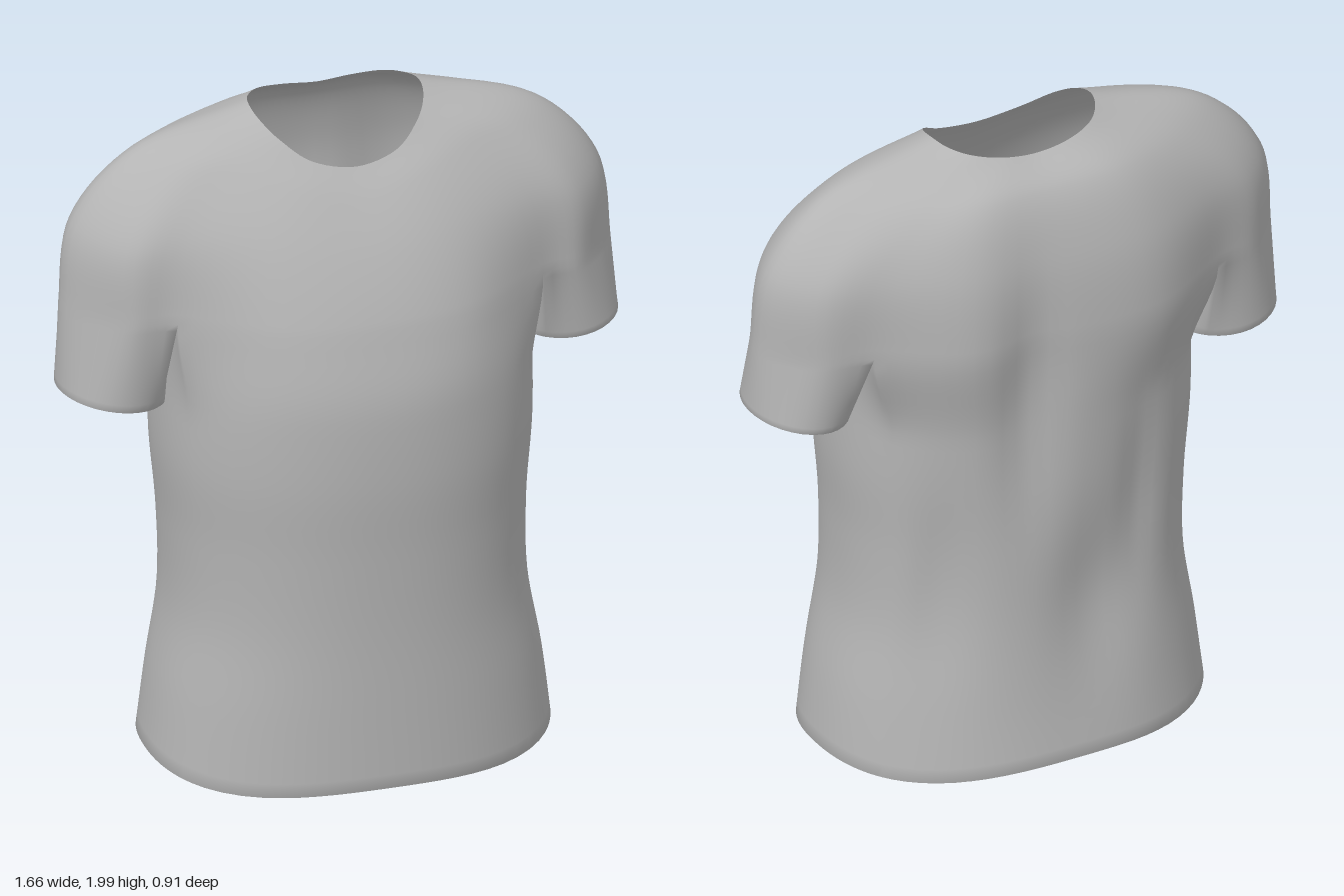
import * as THREE from 'three';

const N = 96;              // points around the body
const F = 12, B = 36;      // ring indices of the front and back armpit on the +x side
const CHEST = .25;         // guide position of the armpit level
const { lerp, smoothstep, degToRad } = THREE.MathUtils;
const V = (x, y, z) => new THREE.Vector3(x, y, z);

// Half-body guide lines from below the armpit up to the neckline, front centre round to back centre
const GUIDES = [
  [[0, 1.25, .45], [0, 1.45, .4], [0, 1.64, .315], [0, 1.78, .225], [0, 1.86, .16]],
  [[.28, 1.25, .405], [.28, 1.45, .36], [.25, 1.67, .28], [.19, 1.82, .195], [.125, 1.885, .14]],
  [[.55, 1.25, .205], [.545, 1.46, .2], [.51, 1.69, .185], [.37, 1.87, .12], [.205, 1.94, .085]],
  [[.7, 1.25, .15], [.69, 1.45, .15], [.675, 1.68, .13], [.52, 1.88, .06], [.245, 1.98, .02]],
  [[.83, 1.25, -.04], [.82, 1.45, -.04], [.785, 1.7, -.05], [.61, 1.895, -.055], [.255, 2, -.05]],
  [[.7, 1.25, -.21], [.71, 1.45, -.21], [.69, 1.69, -.2], [.52, 1.885, -.16], [.235, 1.995, -.115]],
  [[.55, 1.25, -.265], [.55, 1.46, -.27], [.52, 1.7, -.275], [.38, 1.88, -.245], [.185, 1.985, -.17]],
  [[.3, 1.25, -.395], [.3, 1.45, -.4], [.28, 1.7, -.375], [.21, 1.89, -.305], [.1, 1.97, -.2]],
  [[0, 1.25, -.41], [0, 1.45, -.41], [0, 1.7, -.38], [0, 1.89, -.305], [0, 1.96, -.205]],
].map((line) => new THREE.CatmullRomCurve3(line.map((p) => V(...p))));

// Torso sections every 0.25 up from the hem: half width, front depth, back depth
const SECTIONS = new THREE.CatmullRomCurve3([
  [.6, .44, .465], [.57, .438, .43], [.53, .438, .41], [.53, .447, .405],
  [.55, .46, .405], [.55, .45, .41], [.545, .4, .41],
].map((p) => V(...p)), false, 'catmullrom');

// Soft folds pressed into the cloth of the back
function fold(p) {
  const dent = (cx, cy, w, h, d) => d * Math.exp(-(((p.x - cx) / w) ** 2) - ((p.y - cy) / h) ** 2);
  const depth = dent(.11, 1.25, .09, .4, .045) + dent(-.1, .55, .13, .28, .045)
    + dent(.38, .65, .1, .28, .03) + dent(-.25, .85, .06, .3, .025);
  return depth * smoothstep(-p.z, .22, .34);
}

function yokeRing(t) {
  const half = GUIDES.map((g) => g.getPoint(t));
  const mirrored = half.slice(1, -1).reverse().map((p) => V(-p.x, p.y, p.z));
  const loop = new THREE.CatmullRomCurve3([...half, ...mirrored], true, 'catmullrom');
  return Array.from({ length: N }, (_, i) => loop.getPoint(i / N));
}

// Underarm line joining two ring points, used by both torso and sleeve
function underarm(a, b) {
  return Array.from({ length: B - F + 1 }, (_, i) => {
    const t = i / (B - F), p = a.clone().lerp(b, t);
    p.y += .03 * Math.sin(Math.PI * t);
    return p;
  });
}

// Torso from the chest ring down; below is the ring the chest would continue to
function torsoRows(base, below) {
  const rows = [], count = 34;
  for (let r = 0; r <= count; r++) {
    const t = r / count;
    rows.push(base.map((p, i) => {
      const angle = Math.atan2(p.z / .405, p.x / .545);
      const c = Math.cos(angle), s = Math.sin(angle);
      const radius = (Math.abs(c) ** 2.2 + Math.abs(s) ** 2.2) ** (-1 / 2.2);
      const hem = .035 - .02 * s + .008 * Math.cos(4 * angle);
      const y = lerp(p.y, hem, t);
      const size = SECTIONS.getPoint(y / 1.5);
      const x = radius * c * size.x + .012 * smoothstep(t, .3, 1);
      const z = radius * s * (s > 0 ? size.y : size.z);
      // Follow the slope of the chest first, then ease into the section
      const run = (p.y - y) / .2, q = below[i];
      const blend = smoothstep(t, 0, .22);
      return V(lerp(lerp(p.x, q.x, run), x, blend), y, lerp(lerp(p.z, q.z, run), z, blend));
    }));
  }
  // Turned-in hem
  const last = rows[count];
  rows.push(last.map((p) => V(p.x * .975, p.y - .006, p.z * .965)));
  rows.push(last.map((p) => V(p.x * .95, p.y + .015, p.z * .93)));
  return rows.reverse();
}

function sleeveRows(mouth, side, cx, rx, cuffY) {
  const rows = [], count = 12;
  const cuff = mouth.map((_, i) => {
    const deg = (i <= 24 ? 132 - 11 * i : -132 - 4 * (i - 24)) - (side < 0 ? 180 : 0);
    const c = Math.cos(degToRad(deg)), s = Math.sin(degToRad(deg));
    return V(cx + rx * c, cuffY + .02 * c * side, -.035 + .185 * s);
  });
  for (let r = 0; r <= count; r++) rows.push(mouth.map((p, i) => p.clone().lerp(cuff[i], r / count)));
  // Turned-in cuff
  const inset = (k, dy) => cuff.map((p) => V(lerp(p.x, cx, k), p.y + dy, lerp(p.z, -.035, k)));
  rows.push(inset(.05, -.004), inset(.09, .015));
  return rows.reverse();
}

export function createModel() {
  const cloth = new THREE.MeshStandardMaterial({ color: 0xb4b4b4, side: THREE.DoubleSide });
  cloth.name = 'greyCloth';

  // All parts share one welded vertex list so shading flows across the seams
  const positions = [], seen = new Map();
  const vertex = (p) => {
    const key = p.toArray().map((n) => Math.round(n * 1e5)).join();
    if (!seen.has(key)) {
      seen.set(key, positions.length / 3);
      positions.push(p.x, p.y, p.z + fold(p));
    }
    return seen.get(key);
  };
  const loft = (rows) => {
    const ids = rows.map((row) => row.map(vertex)), index = [];
    for (let r = 0; r < ids.length - 1; r++) {
      const n = ids[r].length;
      for (let i = 0; i < n; i++) {
        const j = (i + 1) % n;
        const a = ids[r][i], b = ids[r][j], c = ids[r + 1][j], d = ids[r + 1][i];
        index.push(a, b, c, a, c, d);
      }
    }
    return index;
  };

  // Shoulders and chest up to the neckline
  const yoke = Array.from({ length: 25 }, (_, r) => yokeRing(lerp(CHEST, 1, r / 24)));
  const ring = yoke[0];
  const leftArm = underarm(ring[F], ring[B]);
  const rightArm = underarm(ring[N - B], ring[N - F]);

  // Torso opening follows the chest ring but cuts across under each arm
  const crossArms = (loop, left, right) => loop.map((p, i) => {
    if (i >= F && i <= B) return left[i - F];
    if (i >= N - B && i <= N - F) return right[i - (N - B)];
    return p;
  });
  const low = yokeRing(0);
  const torsoTop = crossArms(ring, leftArm, rightArm);
  const torsoBelow = crossArms(low, underarm(low[F], low[B]), underarm(low[N - B], low[N - F]));
  const mouth = (from, to, arm) => [...ring.slice(from, to + 1), ...arm.slice(1, -1).reverse()];

  const parts = {
    yoke: loft(yoke),
    torso: loft(torsoRows(torsoTop, torsoBelow)),
    leftSleeve: loft(sleeveRows(mouth(F, B, leftArm), 1, .685, .148, 1.22)),
    rightSleeve: loft(sleeveRows(mouth(N - B, N - F, rightArm), -1, -.672, .158, 1.175)),
  };

  const whole = new THREE.BufferGeometry();
  whole.setAttribute('position', new THREE.Float32BufferAttribute(positions, 3));
  whole.setIndex(Object.values(parts).flat());
  whole.computeVertexNormals();

  const shirt = new THREE.Group();
  shirt.name = 'shirt';
  for (const [name, index] of Object.entries(parts)) {
    const geometry = new THREE.BufferGeometry();
    geometry.setAttribute('position', whole.attributes.position);
    geometry.setAttribute('normal', whole.attributes.normal);
    geometry.setIndex(index);
    const mesh = new THREE.Mesh(geometry, cloth);
    mesh.name = name;
    shirt.add(mesh);
  }
  return shirt;
}
